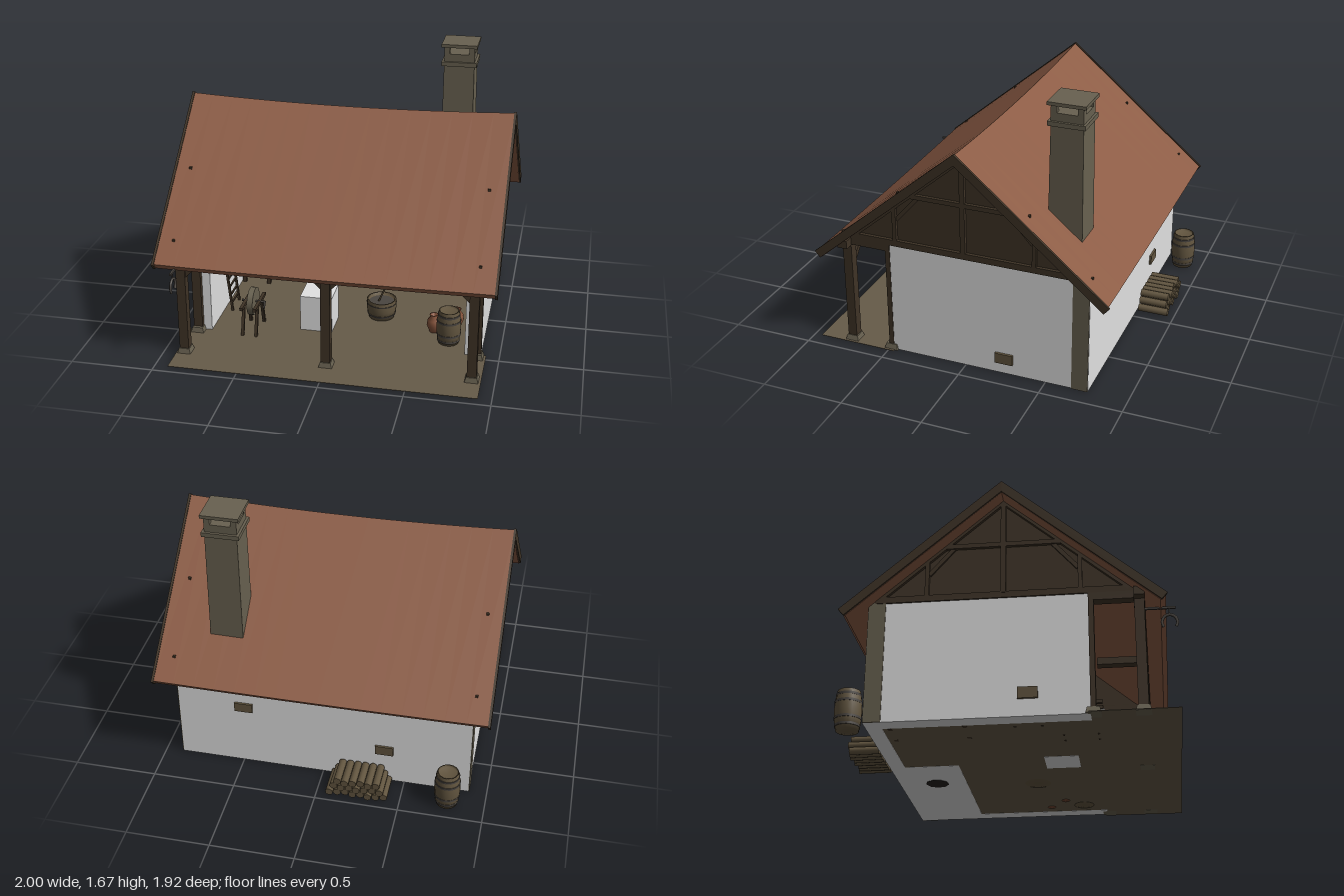
import * as THREE from 'three';

const mat = (name, color, side = THREE.FrontSide) => {
  const m = new THREE.MeshStandardMaterial({ color, side });
  m.name = name;
  return m;
};

export function createModel() {
  const root = new THREE.Group();
  root.name = 'workshop';
  const plaster = mat('plaster', 0xe2e2e2), timber = mat('dark timber', 0x3f3326);
  const stone = mat('stone', 0x686150), tile = mat('roof tile', 0x8c5c45);
  const wood = mat('weathered wood', 0x62553f), iron = mat('iron', 0x4a4540);
  const clay = mat('clay', 0x86543c), coal = mat('coal', 0x24201c);
  const earth = mat('earth floor', 0x665b49);

  const add = (name, geo, m, x = 0, y = 0, z = 0) => {
    const mesh = new THREE.Mesh(geo, m);
    mesh.name = name;
    mesh.position.set(x, y, z);
    root.add(mesh);
    return mesh;
  };
  // Box given by its lower and upper limits
  const box = (name, m, x0, x1, y0, y1, z0, z1) =>
    add(name, new THREE.BoxGeometry(x1 - x0, y1 - y0, z1 - z0), m, (x0 + x1) / 2, (y0 + y1) / 2, (z0 + z1) / 2);
  // Square or round bar between two points
  const bar = (name, m, a, b, w, d = w, round = false) => {
    const p = new THREE.Vector3(...a), q = new THREE.Vector3(...b), len = p.distanceTo(q);
    const geo = round ? new THREE.CylinderGeometry(w / 2, w / 2, len, 10) : new THREE.BoxGeometry(w, len, d);
    const mesh = add(name, geo, m);
    mesh.position.copy(p).add(q).multiplyScalar(0.5);
    mesh.quaternion.setFromUnitVectors(new THREE.Vector3(0, 1, 0), q.sub(p).normalize());
    return mesh;
  };
  // Symmetric z-y outline extruded along x
  const gableExtrude = (pts, x0, x1, steps = 1) => {
    const shape = new THREE.Shape(pts.map(([z, y]) => new THREE.Vector2(z, y)));
    const geo = new THREE.ExtrudeGeometry(shape, { depth: x1 - x0, steps, bevelEnabled: false });
    return geo.rotateY(Math.PI / 2).translate(x0, 0, 0);
  };
  // Tapered block with separate bottom and top rectangles
  const taper = (name, m, b, t, y0, y1) => {
    const geo = new THREE.BoxGeometry(1, 1, 1), p = geo.attributes.position;
    for (let i = 0; i < p.count; i++) {
      const r = p.getY(i) > 0 ? t : b;
      p.setXYZ(i, r[p.getX(i) > 0 ? 1 : 0], p.getY(i) > 0 ? y1 : y0, r[p.getZ(i) > 0 ? 3 : 2]);
    }
    geo.computeVertexNormals();
    return add(name, geo, m);
  };

  // Earth floor, stepping round the hearth
  box('porchFloor', earth, -0.92, 0.92, 0.001, 0.004, 0.46, 0.95);
  box('innerFloor', earth, -0.79, 0.79, 0.001, 0.004, -0.35, 0.46);
  box('backFloor', earth, -0.79, -0.16, 0.001, 0.004, -0.67, -0.35);

  // Walls with stone back corners
  box('backWall', plaster, -0.89, 0.89, 0, 0.71, -0.76, -0.67);
  for (const s of [-1, 1]) {
    const [a, b] = s > 0 ? [0.79, 0.89] : [-0.89, -0.79];
    box('sideWall', plaster, a, b, 0, 0.71, -0.67, 0.47);
    box('cornerStone', stone, s * 0.892 - 0.004, s * 0.892 + 0.004, 0, 0.72, -0.758, -0.66);
  }
  box('sideVent', wood, 0.87, 0.905, 0.07, 0.135, -0.3, -0.19);
  box('sideVent', wood, -0.905, -0.87, 0.1, 0.165, 0.08, 0.19);
  box('backVent', wood, 0.43, 0.54, 0.39, 0.45, -0.773, -0.75);
  box('backVent', wood, -0.43, -0.32, 0.205, 0.265, -0.773, -0.75);

  // Posts, footings, braces and wall plates
  for (const [x, z] of [[-0.87, 0.75], [0, 0.75], [0.865, 0.75], [-0.87, 0.485], [0.865, 0.485]]) {
    const w = z > 0.6 ? 0.028 : 0.015;
    box('post', timber, x - 0.028, x + 0.028, 0.03, 0.68, z - w, z + w);
    taper('postFooting', stone, [x - 0.042, x + 0.042, z - 0.042, z + 0.042], [x - 0.032, x + 0.032, z - 0.034, z + 0.034], 0, 0.035);
    if (z > 0.6) for (const s of [-1, 1])
      if (x * s <= 0) bar('brace', timber, [x + s * 0.01, 0.51, z], [x + s * 0.16, 0.66, z], 0.03);
  }
  box('frontPlate', timber, -0.95, 0.95, 0.66, 0.71, 0.72, 0.78);
  for (const x of [-0.87, 0, 0.865]) box('tieBeam', timber, x - 0.03, x + 0.03, 0.665, 0.71, 0.47, 0.78);

  // Framed gables
  for (const s of [-1, 1]) {
    const g = (x0, x1) => s > 0 ? [x0, x1] : [-x1, -x0];
    add('gablePanel', gableExtrude([[-0.76, 0.71], [0.76, 0.71], [0, 1.35]], ...g(0.85, 0.88)), timber);
    box('gableSill', timber, ...g(0.84, 0.9), 0.71, 0.748, -0.72, 0.72);
    box('gableCollar', timber, ...g(0.86, 0.9), 1.035, 1.062, -0.35, 0.35);
    box('kingPost', timber, ...g(0.86, 0.902), 0.74, 1.33, -0.015, 0.015);
    for (const t of [-1, 1]) {
      box('gableStud', timber, ...g(0.86, 0.9), 0.74, 0.97, t * 0.43 - 0.012, t * 0.43 + 0.012);
      bar('gableBrace', timber, [s * 0.88, 0.88, t * 0.42], [s * 0.88, 1.04, t * 0.28], 0.024);
      bar('gableRafter', timber, [s * 0.885, 0.735, t * 0.7], [s * 0.885, 1.325, t * 0.005], 0.03);
    }
  }

  // Sagging roof with barge boards and pegs
  const roofGeo = gableExtrude([[0, 1.395], [-0.895, 0.64], [-0.865, 0.603], [0, 1.335], [0.865, 0.603], [0.895, 0.64]], -0.988, 0.988, 16);
  const rp = roofGeo.attributes.position;
  for (let i = 0; i < rp.count; i++) {
    const x = rp.getX(i), y = rp.getY(i);
    rp.setY(i, y - 0.027 * (1 - x * x) * (0.2 + (y - 0.6)));
  }
  roofGeo.computeVertexNormals();
  add('roof', roofGeo, tile);
  for (const x of [-1, 0.985])
    add('bargeBoard', gableExtrude([[0, 1.402], [-0.905, 0.638], [-0.873, 0.6], [0, 1.335], [0.873, 0.6], [0.905, 0.638]], x, x + 0.015), timber);
  for (const x of [-0.9, 0.89]) for (const z of [-0.77, -0.4, 0.4, 0.77])
    box('roofPeg', timber, x - 0.008, x + 0.008, 1.37 - 0.845 * Math.abs(z), 1.4 - 0.845 * Math.abs(z), z - 0.006, z + 0.006);

  // Hearth, hood and chimney
  box('hearth', plaster, -0.16, 0.79, 0, 0.515, -0.67, -0.35);
  const bed = add('coalBed', new THREE.CylinderGeometry(0.07, 0.07, 0.004, 9), coal, 0.15, 0, -0.53);
  bed.rotation.y = 0.3;
  box('hoodBeam', timber, 0.25, 0.788, 0.48, 0.52, -0.67, -0.3);
  taper('hood', stone, [0.27, 0.785, -0.67, -0.31], [0.5, 0.695, -0.65, -0.43], 0.52, 0.76);
  taper('chimneyShaft', stone, [0.5, 0.7, -0.643, -0.435], [0.505, 0.695, -0.635, -0.445], 0.76, 1.53);
  box('chimneyCollar', stone, 0.49, 0.71, 1.525, 1.552, -0.65, -0.43);
  box('chimneyNeck', stone, 0.505, 0.695, 1.55, 1.6, -0.635, -0.445);
  for (const x of [0.505, 0.66]) for (const z of [-0.635, -0.48])
    box('chimneyPier', stone, x, x + 0.035, 1.6, 1.645, z, z + 0.035);
  box('chimneyCap', stone, 0.488, 0.712, 1.645, 1.665, -0.652, -0.428);

  // Barrels, tub and pots
  const lathe = (name, pts, m, x, z) =>
    add(name, new THREE.LatheGeometry(pts.map(([r, y]) => new THREE.Vector2(r, y)), 18), m, x, 0, z);
  const barrel = (x, z, r, h) => {
    lathe('barrel', [[0, 0], [r * 0.82, 0], [r * 0.95, h * 0.25], [r, h * 0.5], [r * 0.95, h * 0.75], [r * 0.82, h], [r * 0.74, h], [r * 0.74, h * 0.93], [0, h * 0.93]], wood, x, z);
    for (const f of [0.12, 0.3, 0.7, 0.88]) {
      const rr = r * (1.015 - 0.18 * (2 * f - 1) ** 2);
      add('barrelHoop', new THREE.CylinderGeometry(rr, rr, h * 0.06, 18), iron, x, h * f, z);
    }
  };
  barrel(0.675, 0.33, 0.076, 0.22);
  barrel(-0.775, -0.87, 0.078, 0.235);
  lathe('tub', [[0, 0], [0.08, 0], [0.093, 0.06], [0.095, 0.125], [0.083, 0.125], [0.08, 0.1], [0, 0.1]], wood, 0.215, 0.08);
  for (const y of [0.03, 0.1]) add('tubHoop', new THREE.CylinderGeometry(0.097, 0.093, 0.012, 18), iron, 0.215, y, 0.08).scale.setScalar(y > 0.05 ? 1 : 0.95);
  bar('tubStick', wood, [0.19, 0.09, 0.08], [0.255, 0.245, 0.08], 0.012, 0.012, true);
  for (const [x, z] of [[0.57, 0.22], [0.7, 0.12]])
    lathe('clayPot', [[0, 0], [0.025, 0], [0.045, 0.05], [0.04, 0.085], [0.022, 0.108], [0.028, 0.122], [0.02, 0.12], [0, 0.1]], clay, x, z);

  // Stacked logs
  for (let row = 0; row < 3; row++) for (let i = 0; i < 8 - row; i++) {
    const x = -0.405 + row * 0.023 + i * 0.0465, y = 0.024 + row * 0.041, j = ((i * 7 + row * 3) % 5) * 0.004;
    bar('log', wood, [x, y, -0.772], [x, y, -0.945 - j], 0.046, 0.046, true);
  }

  // Stone block and grindstone
  box('stoneBlock', plaster, -0.25, -0.05, 0, 0.235, 0.16, 0.36);
  const wheel = add('grindstone', new THREE.CylinderGeometry(0.087, 0.087, 0.036, 24), stone, -0.54, 0.195, 0.4);
  wheel.rotation.z = Math.PI / 2;
  bar('grindAxle', iron, [-0.61, 0.195, 0.4], [-0.46, 0.195, 0.4], 0.014, 0.014, true);
  bar('grindCrank', iron, [-0.464, 0.2, 0.4], [-0.464, 0.165, 0.43], 0.01);
  for (const x of [-0.585, -0.5]) {
    box('grindRail', timber, x - 0.01, x + 0.01, 0.18, 0.2, 0.28, 0.52);
    for (const s of [-1, 1]) bar('grindLeg', timber, [x, 0.185, 0.4 + s * 0.05], [x, 0, 0.4 + s * 0.1], 0.018);
  }

  // Workbench with box and round loaf stone below
  box('benchTop', wood, -0.79, -0.59, 0.21, 0.232, -0.66, -0.19);
  for (const x of [-0.77, -0.605]) for (const z of [-0.63, -0.22]) box('benchLeg', timber, x - 0.012, x + 0.012, 0, 0.21, z - 0.012, z + 0.012);
  box('benchShelf', wood, -0.78, -0.6, 0.055, 0.07, -0.64, -0.21);
  box('benchBox', timber, -0.75, -0.635, 0.232, 0.275, -0.45, -0.3);
  add('whetstone', new THREE.SphereGeometry(0.045, 14, 6, 0, Math.PI * 2, 0, Math.PI / 2), stone, -0.69, 0.07, -0.35);

  // Ladder leaning on the side wall
  for (const z of [0.05, 0.2]) bar('ladderRail', timber, [-0.735, 0, z], [-0.785, 0.45, z], 0.014);
  for (let i = 1; i < 8; i++) bar('ladderRung', timber, [-0.735 - i * 0.006, i * 0.055, 0.05], [-0.735 - i * 0.006, i * 0.055, 0.2], 0.01);

  // Tool rail with hanging tools
  box('toolRail', wood, -0.77, -0.16, 0.464, 0.49, -0.67, -0.645);
  for (const x of [-0.71, -0.62, -0.53]) {
    bar('toolRod', iron, [x, 0.39, -0.635], [x, 0.475, -0.635], 0.009);
    box('toolHead', iron, x - 0.012, x + 0.012, 0.375, 0.392, -0.642, -0.628);
  }
  for (const x of [-0.43, -0.335]) for (const s of [-1, 1]) {
    bar('tongsArm', iron, [x - s * 0.012, 0.325, -0.635], [x + s * 0.01, 0.43, -0.635], 0.008);
    bar('tongsJaw', iron, [x + s * 0.01, 0.43, -0.635], [x - s * 0.008, 0.48, -0.635], 0.008);
  }
  bar('hammerShaft', wood, [-0.26, 0.405, -0.635], [-0.155, 0.44, -0.635], 0.014);
  bar('clayRod', clay, [-0.245, 0.32, -0.635], [-0.245, 0.41, -0.635], 0.009);

  // Horseshoes, the large one hung from a bracket at the eave
  const shoe = (r, x, y, z) => {
    const pts = [-40, 0, 45, 90, 135, 180, 220].map(d => {
      const a = d * Math.PI / 180;
      return new THREE.Vector3(r * Math.cos(a), r * 1.1 * Math.sin(a), 0);
    });
    return add('horseshoe', new THREE.TubeGeometry(new THREE.CatmullRomCurve3(pts), 24, r * 0.2, 6), iron, x, y, z);
  };
  shoe(0.042, -0.87, 0.52, 0.91).rotation.y = Math.PI / 2;
  bar('shoeBracket', iron, [-0.87, 0.608, 0.76], [-0.87, 0.608, 0.945], 0.012);
  bar('shoeHook', iron, [-0.87, 0.56, 0.91], [-0.87, 0.61, 0.91], 0.008);
  for (const x of [-0.25, -0.18]) shoe(0.018, x, 0.447, -0.635);

  return root;
}
